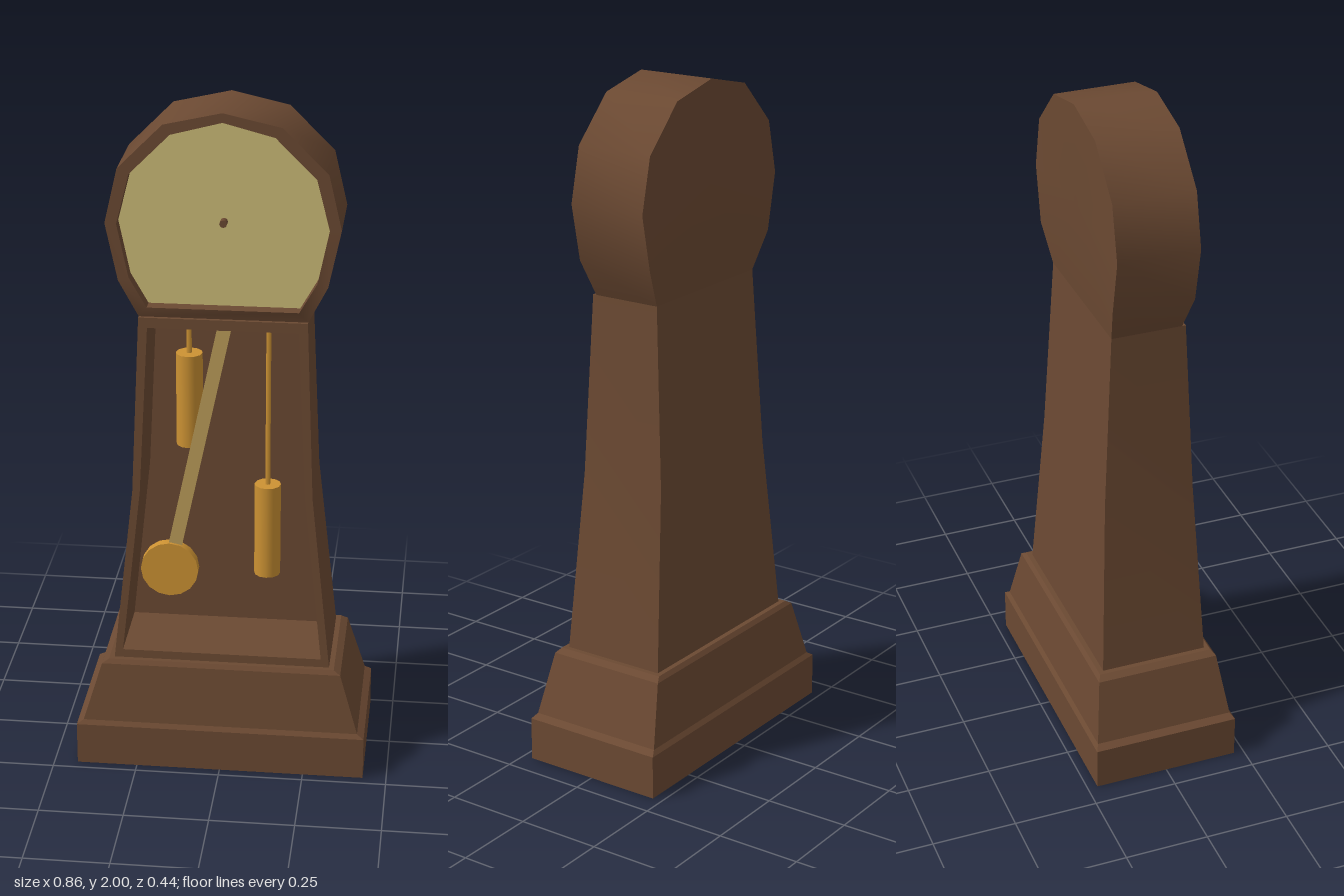
import * as THREE from 'three';
import { toCreasedNormals } from 'three/addons/utils/BufferGeometryUtils.js';

const material = (name, color) => Object.assign(new THREE.MeshStandardMaterial({ color }), { name });

// Skin a list of equal-length rings, with an optional fan cap at each end.
function loft(rings, capStart, capEnd, crease = 0.7) {
  const pos = [];
  const tri = (a, b, c) => pos.push(...a, ...b, ...c);
  const n = rings[0].length;
  for (let r = 0; r < rings.length - 1; r++) {
    for (let j = 0; j < n; j++) {
      const k = (j + 1) % n;
      const [p, q] = [rings[r], rings[r + 1]];
      tri(p[j], p[k], q[k]);
      tri(p[j], q[k], q[j]);
    }
  }
  const cap = (ring, flip) => {
    const c = [0, 1, 2].map(i => ring.reduce((s, p) => s + p[i], 0) / n);
    ring.forEach((p, j) => {
      const q = ring[(j + 1) % n];
      flip ? tri(c, q, p) : tri(c, p, q);
    });
  };
  if (capStart) cap(rings[0], true);
  if (capEnd) cap(rings[rings.length - 1], false);
  const g = new THREE.BufferGeometry();
  g.setAttribute('position', new THREE.Float32BufferAttribute(pos, 3));
  g.computeVertexNormals();
  return toCreasedNormals(g, crease);
}

// Mirror a right-hand outline (bottom to top) into a full counterclockwise one.
const mirror = half => [...half, ...half.filter(p => p[0] > 0).reverse().map(([x, y]) => [-x, y])];
const atDepth = (outline, z) => outline.map(([x, y]) => [x, y, z(y)]);

export function createModel() {
  const group = new THREE.Group();
  const wood = material('darkWood', 0x6b4932);
  const cream = material('dialCream', 0xcdbc78);
  const gold = material('gold', 0xcc9233);
  const brass = material('paleBrass', 0xbd9d5a);
  const add = (name, geometry, mat, x = 0, y = 0, z = 0) => {
    const m = new THREE.Mesh(geometry, mat);
    m.name = name;
    m.position.set(x, y, z);
    group.add(m);
    return m;
  };

  // Stepped plinth
  const plinth = [
    [0, 0.43, 0.22], [0.13, 0.43, 0.22], [0.143, 0.41, 0.21],
    [0.323, 0.355, 0.185], [0.335, 0.335, 0.175],
  ].map(([y, x, z]) => [[x, y, z], [x, y, -z], [-x, y, -z], [-x, y, z]]);
  add('plinth', loft(plinth, true, true, 0.3), wood);

  // Tapered trunk with an open front
  const slope = (a, b) => y => a + (b - a) * (y - 0.335) / 1.065;
  const trunkOuter = mirror([[0.32, 0.335], [0.262, 0.87], [0.24, 1.4]]);
  const trunkInner = mirror([[0.295, 0.36], [0.24, 0.87], [0.215, 1.37]]);
  const front = slope(0.16, 0.117);
  add('trunk', loft([
    atDepth(trunkOuter, slope(-0.16, -0.103)), atDepth(trunkOuter, front),
    atDepth(trunkInner, front), atDepth(trunkInner, () => -0.08),
  ], true, true, 0.3), wood);

  // Faceted hood with a recessed dial
  const hoodOuter = mirror([[0.24, 1.4], [0.295, 1.51], [0.33, 1.677], [0.293, 1.835], [0.165, 1.963], [0, 2]]);
  const hoodInner = mirror([[0.215, 1.432], [0.265, 1.52], [0.297, 1.675], [0.26, 1.82], [0.145, 1.935], [0, 1.973]]);
  add('hood', loft([
    atDepth(hoodOuter, y => (y < 1.41 ? -0.103 : -0.12)),
    atDepth(hoodOuter, y => (y < 1.41 ? 0.106 : 0.12)),
    atDepth(hoodInner, () => 0.12),
    atDepth(hoodInner, () => 0.08),
  ], true, false), wood);
  const dialShape = new THREE.Shape(hoodInner.map(p => new THREE.Vector2(...p)));
  add('dial', new THREE.ShapeGeometry(dialShape), cream, 0, 0, 0.08);
  add('dialHub', new THREE.CylinderGeometry(0.011, 0.011, 0.03, 8).rotateX(Math.PI / 2), wood, 0, 1.68, 0.09);

  // Swung pendulum
  const top = new THREE.Vector2(0.005, 1.39), bob = new THREE.Vector2(-0.167, 0.58);
  const rod = add('pendulumRod', new THREE.BoxGeometry(0.04, top.distanceTo(bob), 0.012), brass,
    (top.x + bob.x) / 2, (top.y + bob.y) / 2, 0.04);
  rod.rotation.z = -Math.atan2(top.x - bob.x, top.y - bob.y);
  add('pendulumBob', new THREE.CylinderGeometry(0.086, 0.086, 0.03, 16).rotateX(Math.PI / 2), gold, bob.x, bob.y, 0.04);

  // Hanging weights on cords
  for (const [x, low, high] of [[-0.11, 0.97, 1.255], [0.12, 0.56, 0.85]]) {
    add('weight', new THREE.CylinderGeometry(0.039, 0.039, high - low, 12), gold, x, (low + high) / 2, 0);
    add('weightCord', new THREE.CylinderGeometry(0.008, 0.008, 1.38 - high, 6), gold, x, (1.38 + high) / 2, 0);
  }
  return group;
}
